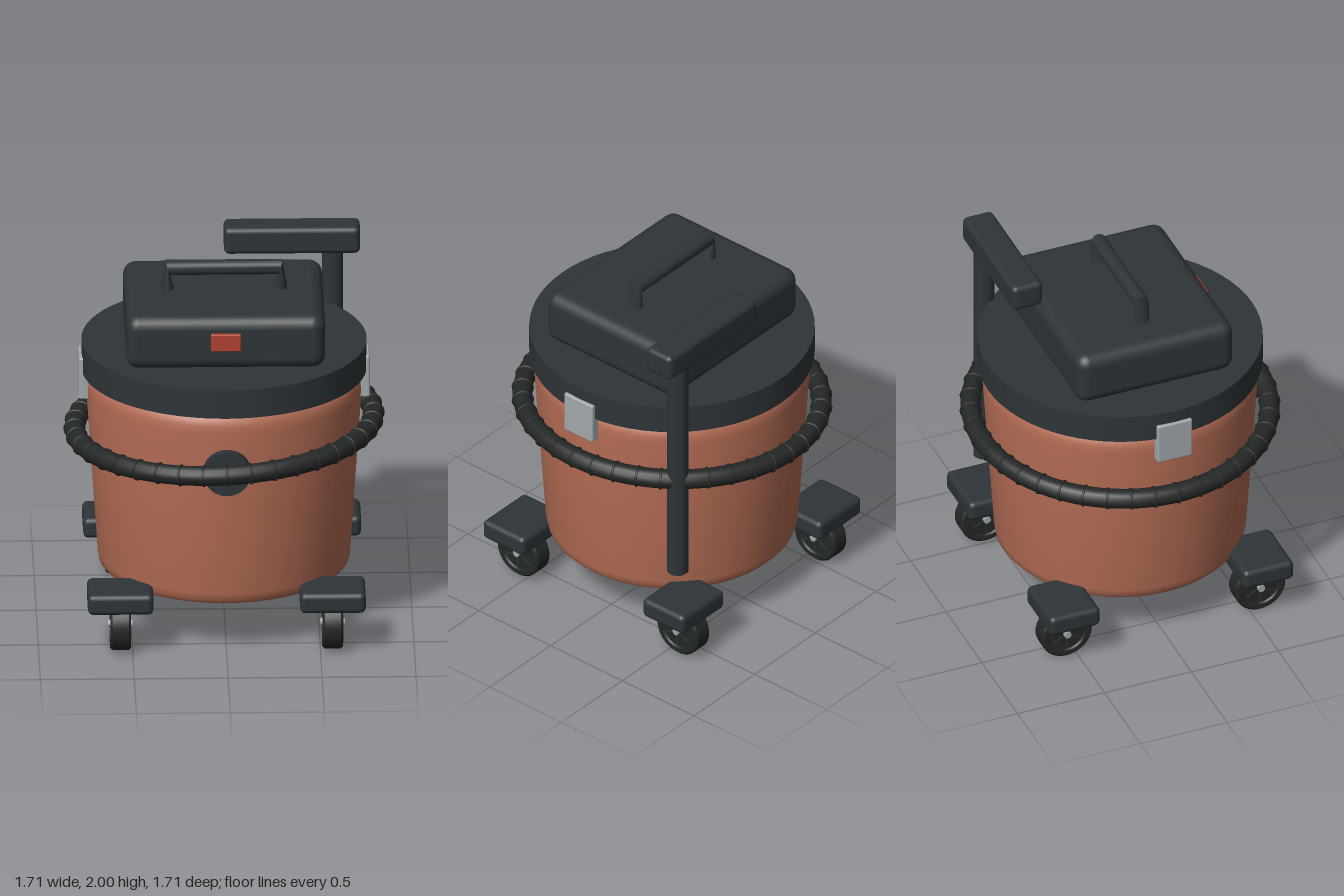
import * as THREE from 'three';
import { toCreasedNormals, mergeGeometries } from 'three/addons/utils/BufferGeometryUtils.js';
import { RoundedBoxGeometry } from 'three/addons/geometries/RoundedBoxGeometry.js';

const mat = (color) => new THREE.MeshStandardMaterial({ color });
const dark = mat(0x2e3437), rubber = mat(0x242827), copper = mat(0xb36c54), grey = mat(0xa2a8ab), red = mat(0xb04232);

export function createModel() {
  const root = new THREE.Group();

  const add = (name, geometry, material, x = 0, y = 0, z = 0, parent = root) => {
    const mesh = new THREE.Mesh(geometry, material);
    mesh.name = name;
    mesh.position.set(x, y, z);
    parent.add(mesh);
    return mesh;
  };
  const rbox = (w, h, d, r) => new RoundedBoxGeometry(w, h, d, 3, r);
  const lathe = (pts, seg) =>
    toCreasedNormals(new THREE.LatheGeometry(pts.map((p) => new THREE.Vector2(...p)), seg), 0.6);

  // Tapered drum with softened bottom and shoulder
  add('drum', lathe([[0, 0.28], [0.62, 0.28], [0.648, 0.29], [0.666, 0.31], [0.673, 0.35], [0.735, 1.29],
    [0.732, 1.33], [0.722, 1.365], [0.7, 1.39], [0, 1.39]], 64), copper);

  // Lid and motor housing
  add('lid', new THREE.CylinderGeometry(0.76, 0.76, 0.16, 64), dark, 0, 1.47, 0);
  add('motorHousing', rbox(1.06, 0.3, 0.9, 0.07), dark, 0, 1.69, 0);
  add('powerSwitch', rbox(0.16, 0.095, 0.05, 0.006), red, 0, 1.708, 0.45);

  // Carry handle: round bar swept through feet and corners, tapering at the legs
  add('carryHandle', handleGeometry(), dark);

  // Side latches
  for (const s of [-1, 1]) add('latch', rbox(0.055, 0.235, 0.2, 0.01), grey, s * 0.747, 1.362, 0);

  // Hose inlet on the front of the drum
  const inlet = add('hoseInlet', new THREE.CylinderGeometry(0.125, 0.125, 0.09, 32), dark, 0, 1.075, 0.725);
  inlet.rotation.x = Math.PI / 2;

  // Ribbed hose wrapped round the drum, slightly tilted
  const hose = new THREE.Group();
  hose.name = 'hose';
  hose.position.y = 1.08;
  hose.rotation.z = 0.05;
  root.add(hose);
  const R = 0.797;
  add('hoseTube', new THREE.TorusGeometry(R, 0.053, 14, 120).rotateX(Math.PI / 2), rubber, 0, 0, 0, hose);
  const ribs = [];
  for (let i = 0; i < 40; i++) {
    const rib = new THREE.TorusGeometry(0.053, 0.007, 6, 18);
    ribs.push(rib.translate(R, 0, 0).rotateY((i / 40) * Math.PI * 2));
  }
  add('hoseRibs', mergeGeometries(ribs), rubber, 0, 0, 0, hose);

  // Wand with floor head, stowed upright at the back corner
  add('wand', new THREE.CylinderGeometry(0.057, 0.057, 1.36, 24), dark, 0.59, 1.2, -0.54);
  add('floorHead', rbox(0.725, 0.15, 0.175, 0.03), dark, 0.373, 1.925, -0.523);

  // Four caster feet
  for (const sx of [-1, 1]) {
    for (const sz of [-1, 1]) {
      const caster = new THREE.Group();
      caster.name = 'caster';
      caster.position.set(sx * 0.565, 0, sz * 0.557);
      root.add(caster);
      add('footPad', rbox(0.35, 0.115, 0.29, 0.03), dark, 0, 0.2975, 0, caster);
      addWheel(add, caster);
    }
  }
  return root;

  function addWheel(add, caster) {
    const wheel = new THREE.Group();
    wheel.name = 'wheel';
    wheel.position.y = 0.144;
    wheel.rotation.z = Math.PI / 2;
    caster.add(wheel);
    add('tyre', lathe([[0, -0.044], [0.1, -0.044], [0.106, -0.055], [0.132, -0.055], [0.144, -0.043],
      [0.144, 0.043], [0.132, 0.055], [0.106, 0.055], [0.1, 0.044], [0, 0.044]], 40), rubber, 0, 0, 0, wheel);
    add('axle', new THREE.CylinderGeometry(0.02, 0.02, 0.13, 16), grey, 0, 0, 0, wheel);
    const spokes = [];
    for (let i = 0; i < 6; i++) {
      spokes.push(new THREE.BoxGeometry(0.075, 0.096, 0.008).translate(0.06, 0, 0).rotateY((i * Math.PI) / 3));
    }
    add('spokes', mergeGeometries(spokes), dark, 0, 0, 0, wheel);
  }
}

// Rings of a bar: [centre x, centre y, tilt of the ring plane from horizontal]
function handleGeometry() {
  const r = 0.042, n = 20;
  const rings = [[-0.3, 1.81, 0], [-0.3, 1.958, 1.32], [0.3, 1.958, Math.PI - 1.32], [0.3, 1.81, Math.PI]];
  const pos = [], index = [];
  for (const [cx, cy, tilt] of rings) {
    for (let i = 0; i < n; i++) {
      const a = (i / n) * Math.PI * 2, u = -Math.cos(a) * r;
      pos.push(cx + u * Math.cos(tilt), cy - u * Math.sin(tilt), Math.sin(a) * r);
    }
  }
  for (let k = 0; k < rings.length - 1; k++) {
    for (let i = 0; i < n; i++) {
      const j = (i + 1) % n, a = k * n + i, b = k * n + j;
      index.push(a, b, a + n, b, b + n, a + n);
    }
  }
  const g = new THREE.BufferGeometry();
  g.setAttribute('position', new THREE.Float32BufferAttribute(pos, 3));
  g.setIndex(index);
  return toCreasedNormals(g, 0.6);
}
